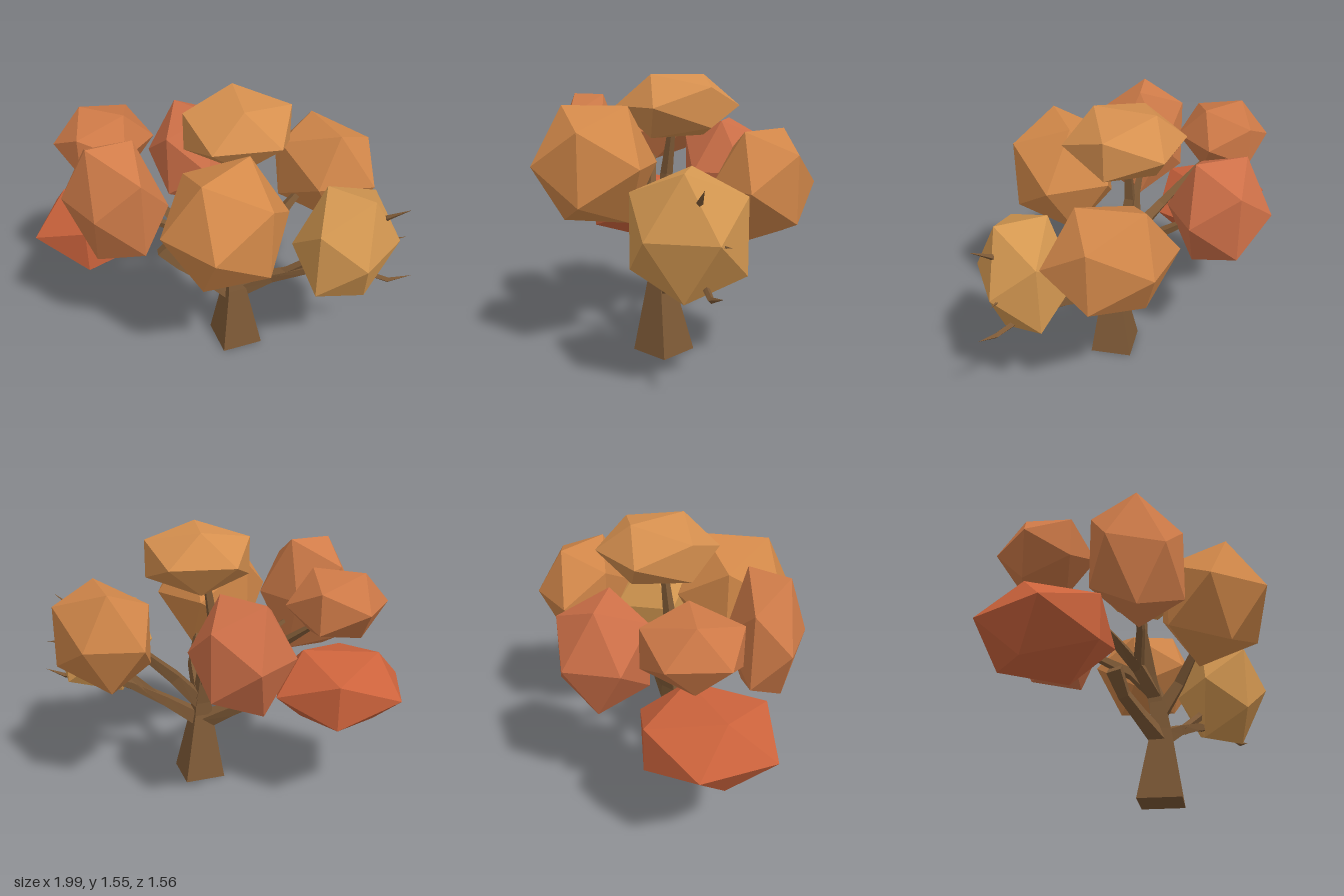
import * as THREE from 'three';

const V3 = (a) => new THREE.Vector3(...a);

// Square-section limb through stations [x, y, z, radius], closed at both ends
function limb(name, stations, material, ref = [0.165, 0, -0.043]) {
  const pts = stations.map((s) => V3(s.slice(0, 3)));
  const last = pts.length - 1;
  const rings = pts.map((p, i) => {
    const t = pts[Math.min(i + 1, last)].clone().sub(pts[Math.max(i - 1, 0)]).normalize();
    if (i === 0 && p.y === 0) t.set(0, 1, 0);
    const n = V3(ref).addScaledVector(t, -V3(ref).dot(t)).normalize();
    const b = t.clone().cross(n);
    return [0, 1, 2, 3].map((k) => p.clone()
      .addScaledVector(n, stations[i][3] * Math.cos(k * Math.PI / 2))
      .addScaledVector(b, stations[i][3] * Math.sin(k * Math.PI / 2)));
  });
  const pos = [];
  const tri = (...c) => c.forEach((v) => pos.push(v.x, v.y, v.z));
  for (let k = 0; k < 4; k++) {
    const m = (k + 1) % 4;
    for (let i = 0; i < last; i++) {
      tri(rings[i][k], rings[i][m], rings[i + 1][m]);
      if (stations[i + 1][3] > 0) tri(rings[i][k], rings[i + 1][m], rings[i + 1][k]);
    }
    tri(pts[0], rings[0][m], rings[0][k]);
    if (stations[last][3] > 0) tri(pts[last], rings[last][k], rings[last][m]);
  }
  const geometry = new THREE.BufferGeometry();
  geometry.setAttribute('position', new THREE.Float32BufferAttribute(pos, 3));
  geometry.computeVertexNormals();
  const mesh = new THREE.Mesh(geometry, material);
  mesh.name = name;
  return mesh;
}

// Icosahedron stretched along two horizontal axes u and v (x, z) and a height radius
function foliage(name, center, u, height, v, color) {
  const basis = new THREE.Matrix4().makeBasis(
    V3([u[0], 0, u[1]]), V3([0, height, 0]), V3([v[0], 0, v[1]]));
  // keep the basis right-handed so that faces point outward
  if (basis.determinant() < 0) basis.scale(V3([1, 1, -1]));
  const geometry = new THREE.IcosahedronGeometry(1, 0).applyMatrix4(basis);
  geometry.computeVertexNormals();
  const mesh = new THREE.Mesh(geometry, new THREE.MeshStandardMaterial({ color, flatShading: true }));
  mesh.position.set(...center);
  mesh.name = name;
  return mesh;
}

export function createModel() {
  const tree = new THREE.Group();
  tree.name = 'autumnTree';
  const bark = new THREE.MeshStandardMaterial({ color: 0x7d5936, flatShading: true });

  // Trunk, branches and twigs
  const wood = new THREE.Group();
  wood.name = 'wood';
  const limbs = {
    trunk: [[0.135, 0, 0.023, 0.17], [0.135, 0.4, 0.04, 0.075], [0.12, 0.56, 0.03, 0.06]],
    centreBranch: [[0.125, 0.48, 0.03, 0.06], [0.08, 0.72, 0.02, 0.05], [0.03, 1.0, 0.03, 0.035], [0.06, 1.36, -0.02, 0.015]],
    leftFrontBranch: [[0.13, 0.34, 0.04, 0.06], [-0.03, 0.44, 0.12, 0.045], [-0.15, 0.51, 0.19, 0.04], [-0.23, 0.62, 0.25, 0.055]],
    leftUpperBranch: [[0.1, 0.6, 0.03, 0.05], [-0.02, 0.74, 0.08, 0.045], [-0.22, 0.83, 0.19, 0.035], [-0.6, 1.12, 0.26, 0.01]],
    leftBackBranch: [[0.1, 0.62, 0.02, 0.04], [0, 0.76, -0.06, 0.035], [-0.33, 0.95, -0.2, 0.015]],
    leftFrontFork: [[-0.02, 0.74, 0.08, 0.035], [-0.1, 0.86, 0.3, 0.025], [-0.22, 1.0, 0.5, 0.01]],
    rightBranch: [[0.13, 0.36, 0.03, 0.06], [0.3, 0.47, -0.09, 0.04], [0.48, 0.55, -0.19, 0.03], [0.7, 0.6, -0.3, 0.02], [0.89, 0.56, -0.38, 0.016], [0.99, 0.6, -0.45, 0]],
    rightFork: [[0.34, 0.48, -0.11, 0.03], [0.5, 0.62, -0.2, 0.025], [0.72, 0.85, -0.28, 0.02], [0.86, 1.0, -0.32, 0.015], [0.965, 1.07, -0.36, 0]],
    rightTwig: [[0.68, 0.72, -0.26, 0.018], [0.84, 0.8, -0.4, 0.014], [0.91, 0.81, -0.48, 0]],
    rightFrontBranch: [[0.13, 0.5, 0.03, 0.055], [0.23, 0.68, 0.08, 0.04], [0.28, 0.84, 0.18, 0.03], [0.32, 1.05, 0.33, 0.01]],
    backBranch: [[0.13, 0.48, 0.02, 0.055], [0.2, 0.66, -0.12, 0.045], [0.25, 0.84, -0.3, 0.03], [0.31, 1.0, -0.5, 0.01]],
  };
  for (const [name, stations] of Object.entries(limbs)) wood.add(limb(name, stations, bark));
  tree.add(wood);

  // Leaf clumps: centre, horizontal axis u, height radius, horizontal axis v, colour
  const crown = new THREE.Group();
  crown.name = 'crown';
  const clumps = {
    frontRightFoliage: [[0.32, 1.08, 0.35], [0, 0.347], 0.364, [0.329, 0], 0xd48a4a],
    frontLeftFoliage: [[-0.235, 1.1, 0.573], [0.1, -0.206], 0.388, [0.288, 0.047], 0xd07c49],
    backLeftFoliage: [[-0.395, 0.985, -0.235], [0.282, 0], 0.347, [0.005, 0.285], 0xce7048],
    lowLeftFoliage: [[-0.625, 0.7, 0.34], [-0.311, 0.232], 0.235, [0.209, 0.328], 0xcc633c],
    upperLeftFoliage: [[-0.63, 1.195, 0.26], [-0.253, 0.076], 0.206, [0.067, 0.28], 0xcd7947],
    topFoliage: [[0.077, 1.382, -0.045], [-0.249, -0.223], 0.197, [0.219, -0.257], 0xd6904f],
    backFoliage: [[0.315, 1.007, -0.545], [-0.285, -0.156], 0.32, [0.206, -0.215], 0xd08649],
    rightFoliage: [[0.685, 0.812, -0.23], [0.262, -0.02], 0.361, [0.006, 0.338], 0xd49851],
  };
  for (const [name, clump] of Object.entries(clumps)) crown.add(foliage(name, ...clump));
  tree.add(crown);
  return tree;
}
